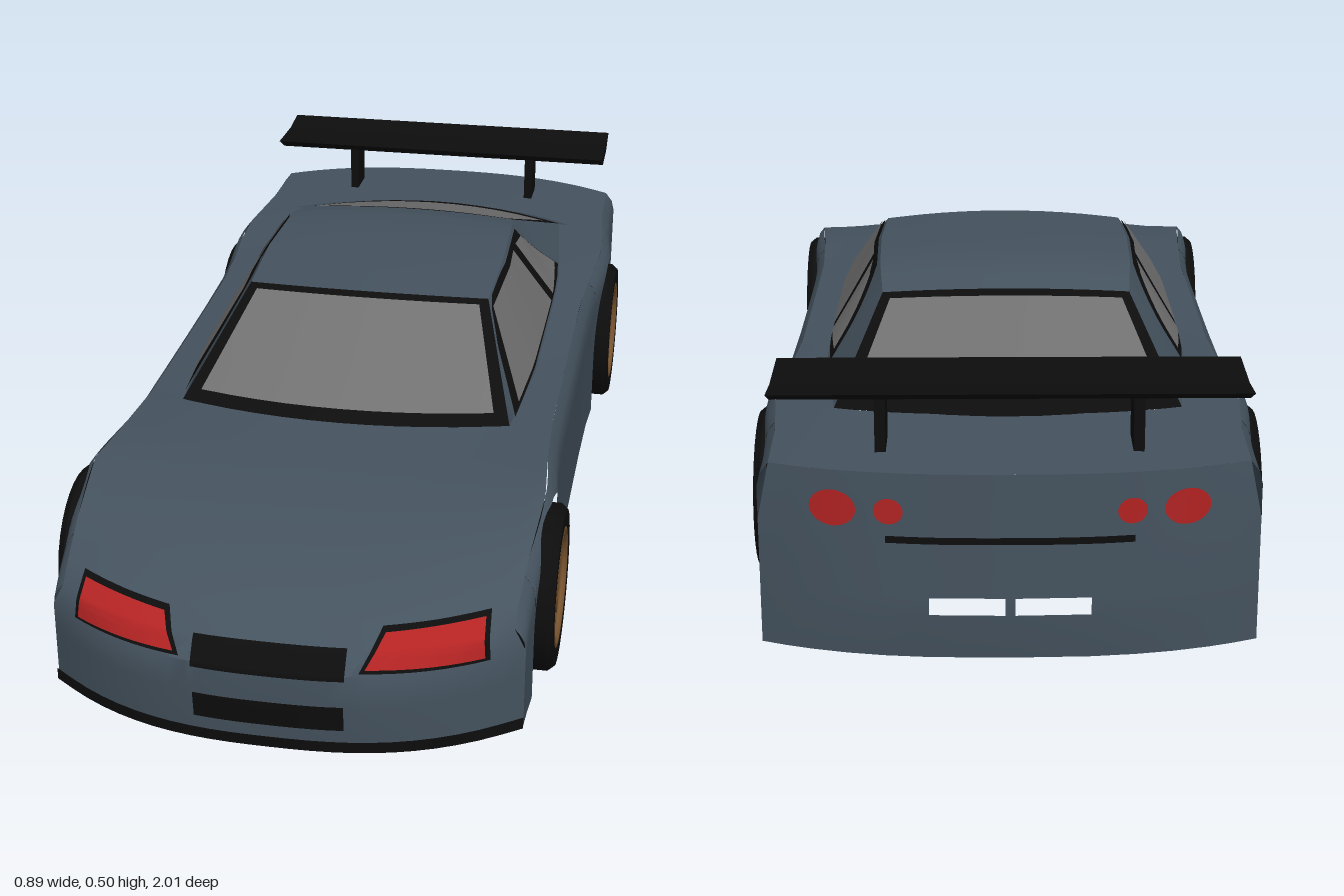
import * as THREE from 'three';
import { toCreasedNormals } from 'three/addons/utils/BufferGeometryUtils.js';

const paint = (name, color) => {
  const m = new THREE.MeshStandardMaterial({ color, side: THREE.DoubleSide });
  m.name = name;
  return m;
};
const lin = (a, b, n) => Array.from({ length: n + 1 }, (_, i) => a + (b - a) * i / n);

// Linear lookup in rows of [key, ...values]
function look(rows, k) {
  const dir = Math.sign(rows[rows.length - 1][0] - rows[0][0]);
  let i = 0;
  while (i < rows.length - 2 && (k - rows[i + 1][0]) * dir > 0) i++;
  const t = THREE.MathUtils.clamp((k - rows[i][0]) / (rows[i + 1][0] - rows[i][0] || 1), 0, 1);
  return rows[i].map((v, j) => v + (rows[i + 1][j] - v) * t).slice(1);
}

// Surface grid f(u, v) -> [x, y, z]; keep(i, j) chooses the cells
function patch(f, us, vs, keep = () => true) {
  const pos = [], idx = [], n = vs.length;
  us.forEach(u => vs.forEach(v => pos.push(...f(u, v))));
  for (let i = 0; i < us.length - 1; i++) for (let j = 0; j < n - 1; j++) {
    if (!keep(i, j)) continue;
    const a = i * n + j;
    idx.push(a, a + n, a + n + 1, a, a + n + 1, a + 1);
  }
  const g = new THREE.BufferGeometry();
  g.setAttribute('position', new THREE.Float32BufferAttribute(pos, 3));
  g.setIndex(idx);
  return toCreasedNormals(g, 0.6);
}

// Four-cornered plate laid onto a surface by map(p, q)
const plate = (c, map, n = 10) => patch((u, v) => map(...[0, 1].map(k =>
  (c[0][k] * (1 - u) + c[1][k] * u) * (1 - v) + (c[3][k] * (1 - u) + c[2][k] * u) * v)),
lin(0, 1, n), lin(0, 1, n));

// Lower body: shoulder line, flared width and side surface
const AXLES = [0.6, -0.55];
const SHOULDER = [[0.86, 0.22], [0.82, 0.25], [0.74, 0.29], [0.6, 0.332], [0.45, 0.33], [0.3, 0.327],
  [0, 0.33], [-0.3, 0.335], [-0.55, 0.345], [-0.92, 0.348]];
const shoulder = z => look(SHOULDER, z)[0];
function sideX(z, y) {
  const flare = AXLES.reduce((s, c) => s + 0.02 * Math.exp(-(((z - c) / 0.16) ** 2)), 0);
  const t = THREE.MathUtils.clamp((y - shoulder(z) + 0.04) / 0.04, 0, 1);
  return 0.41 + flare - 0.02 * t * t;
}

// Rows of [edge z, edge y, centre z, centre y]
const NOSE = [[0.86, 0.03, 0.99, 0.03], [0.86, 0.13, 1, 0.12], [0.86, 0.18, 1, 0.18],
  [0.86, 0.22, 0.975, 0.215], [0.82, 0.25, 0.93, 0.245], [0.74, 0.29, 0.8, 0.295],
  [0.6, 0.332, 0.62, 0.328], [0.45, 0.33, 0.5, 0.338], [0.3, 0.327, 0.4, 0.345]];
const TRUNK = [[-0.62, 0.346, -0.74, 0.362], [-0.77, 0.347, -0.86, 0.36], [-0.92, 0.348, -0.995, 0.355]];
const TAIL = [[-0.92, 0.348, -0.995, 0.355], [-0.92, 0.25, -0.995, 0.25], [-0.92, 0.14, -0.995, 0.14],
  [-0.92, 0.11, -0.995, 0.11], [-0.92, 0.03, -0.985, 0.03]];
const bow = s => 1 - Math.abs(s) ** 2.6;
const deck = rows => (s, r) => {
  const [ez, ey, cz, cy] = rows[r], g = bow(s);
  return [s * sideX(ez, ey), ey + (cy - ey) * g, ez + (cz - ez) * g];
};
const onNose = (x, y) => {
  const g = bow(Math.min(1, Math.abs(x) / 0.41));
  const z = look(NOSE.slice(0, 7).map(([ez, ey, cz, cy]) => [ey + (cy - ey) * g, ez + (cz - ez) * g]), y)[0];
  return [x, y, z];
};
const lift = (map, dx, dy, dz) => (p, q) => {
  const [x, y, z] = map(p, q);
  return [x + dx, y + dy, z + dz];
};
const onTail = (x, y) => [x, y, -0.924 - 0.075 * bow(x / 0.41)];

// Cabin columns: z, base x, base y, roof edge x, roof edge y; centre line: y, z
const CABIN = [[0.35, 0.315, 0.337, 0.315, 0.338], [0.1, 0.335, 0.334, 0.238, 0.485],
  [-0.08, 0.335, 0.337, 0.243, 0.495], [-0.27, 0.335, 0.342, 0.237, 0.495],
  [-0.38, 0.332, 0.345, 0.228, 0.47], [-0.68, 0.3, 0.352, 0.3, 0.353]];
const CENTRE = [[0.345, 0.41], [0.494, 0.127], [0.503, -0.05], [0.504, -0.28], [0.478, -0.385], [0.362, -0.75]];
const CABIN_ROWS = CABIN.map((c, i) => [i, c[3], c[4], c[0], ...CENTRE[i]]);
const cabinTop = (s, t) => {
  const [x, ey, ez, cy, cz] = look(CABIN_ROWS, t), g = 1 - s * s;
  return [s * x, ey + (cy - ey) * g, ez + (cz - ez) * g];
};
const onCabinSide = (z, y) => {
  const [bx, by, rx, ry] = look(CABIN, z);
  const t = THREE.MathUtils.clamp((y - by) / (ry - by || 1), 0.01, 0.99);
  return [bx + (rx - bx) * t, by + (ry - by) * t, z];
};

export function createModel() {
  const car = new THREE.Group();
  car.name = 'car';
  const body = paint('slate body paint', 0x45535f), black = paint('black trim', 0x0d0d0d);
  const glass = paint('grey glass', 0x717171), red = paint('red lamp', 0xb32323);
  const bronze = paint('bronze rim', 0x7a5530);
  const add = (name, geo, mat, parent = car) => {
    const m = new THREE.Mesh(geo, mat);
    m.name = name;
    parent.add(m);
    return m;
  };

  // Nose with bonnet, boot lid and tail with two open slots
  const across = lin(-1, 1, 24), index = a => a.map((_, i) => i);
  add('noseAndBonnet', patch(deck(NOSE), across, index(NOSE)), body);
  add('bootLid', patch(deck(TRUNK), across, index(TRUNK)), body);
  const tailS = [-1, -0.9, -0.8, -0.65, -0.5, -0.32, -0.02, 0.02, 0.32, 0.5, 0.65, 0.8, 0.9, 1];
  add('tailPanel', patch(deck(TAIL), tailS, index(TAIL), (i, j) => !(j === 2 && (i === 5 || i === 7))), body);

  // Windscreen, roof and rear window
  const cols = [-1, -0.92, ...lin(-0.7, 0.7, 8), 0.92, 1];
  const isGlass = (i, j) => i > 0 && i < cols.length - 2 && j > 0 && j < 4;
  add('roof', patch(cabinTop, cols, [1, 1.5, 2, 2.5, 3, 3.5, 4]), body);
  for (const [name, rows] of [['windscreen', [0, 0.1, 0.4, 0.7, 0.95, 1]], ['rearWindow', [4, 4.06, 4.3, 4.6, 4.85, 5]]]) {
    add(name + 'Frame', patch(cabinTop, cols, rows, (i, j) => !isGlass(i, j)), black);
    add(name + 'Glass', patch(cabinTop, cols, rows, isGlass), glass);
  }

  const rz = 0.175, ry = 0.163;
  for (const side of [1, -1]) {
    const tag = side > 0 ? 'left' : 'right';
    const flip = f => (u, v) => { const [x, y, z] = f(u, v); return [side * x, y, z]; };

    // Side panels, cut away over the wheels
    const panel = (name, zs, low) => add(tag + name, patch(flip((z, v) => {
      const y = low(z) + (shoulder(z) - low(z)) * v;
      return [sideX(z, y), y, z];
    }), zs, [0, 0.2, 0.4, 0.6, 0.75, 0.87, 0.94, 1]), body);
    const sill = () => 0.03;
    panel('FrontCorner', [0.86, 0.82, 0.775], sill);
    panel('Door', [0.425, 0.36, 0.3, 0.2, 0, -0.15, -0.3, -0.375], sill);
    panel('RearCorner', [-0.725, -0.8, -0.86, -0.92], sill);
    AXLES.forEach((c, k) => panel(k ? 'RearArch' : 'FrontArch',
      lin(0, Math.PI, 20).map(a => c + rz * Math.cos(a)),
      z => 0.155 + ry * Math.sqrt(Math.max(0, 1 - ((z - c) / rz) ** 2))));

    // Shoulder ledge and cabin side
    const zs = [0.35, 0.3, 0.22, 0.1, 0, -0.08, -0.2, -0.27, -0.38, -0.48, -0.58, -0.68];
    add(tag + 'Ledge', patch(flip((z, v) => {
      const [bx, by] = look(CABIN, z), y = shoulder(z), x = sideX(z, y);
      return [bx + (x - bx) * v, by + (y - by) * v, z];
    }), zs, [0, 0.5, 1]), body);
    add(tag + 'CabinSide', patch(flip((z, v) => {
      const [bx, by, ux, uy] = look(CABIN, z);
      return [bx + (ux - bx) * v, by + (uy - by) * v, z];
    }), zs, lin(0, 1, 4)), body);

    // Side windows, seen from outside and inside
    for (const d of [1, -1]) {
      const on = k => flip(lift(onCabinSide, d * k, d * k * 0.5, 0));
      add(tag + 'WindowFrame', plate([[0.31, 0.336], [0.12, 0.49], [-0.27, 0.49], [-0.43, 0.353]], on(0.003)), black);
      add(tag + 'DoorWindow', plate([[0.265, 0.345], [0.115, 0.474], [-0.165, 0.482], [-0.215, 0.354]], on(0.006)), glass);
      add(tag + 'QuarterWindow', plate([[-0.25, 0.356], [-0.205, 0.481], [-0.275, 0.473], [-0.405, 0.366]], on(0.006)), glass);
    }

    // Headlamp with dark surround, and twin round tail lamps
    add(tag + 'HeadlampSurround', plate([[0.152, 0.185], [0.358, 0.183], [0.352, 0.251], [0.182, 0.242]],
      flip(lift(onNose, 0, 0.001, 0.003))), black);
    add(tag + 'Headlamp', plate([[0.162, 0.191], [0.35, 0.189], [0.345, 0.245], [0.188, 0.236]],
      flip(lift(onNose, 0, 0.002, 0.007))), red);
    for (const [x, rx, r] of [[0.285, 0.038, 0.031], [0.195, 0.024, 0.022]])
      add(tag + 'TailLamp', patch(flip((a, k) => onTail(x + rx * k * Math.cos(a), 0.29 + r * k * Math.sin(a))),
        lin(0, Math.PI * 2, 20), [0, 0.5, 1]), red);

    // Wheels: tyre with recessed face, rim ring, five spokes and hub
    AXLES.forEach((z, k) => {
      const wheel = new THREE.Group();
      wheel.name = tag + (k ? 'RearWheel' : 'FrontWheel');
      wheel.position.set(side * 0.36, 0.152, z);
      wheel.rotation.y = side > 0 ? 0 : Math.PI;
      const profile = [[0, -0.085], [0.14, -0.085], [0.15, -0.073], [0.15, 0.073], [0.14, 0.085], [0.112, 0.085], [0.106, 0.045], [0, 0.045]];
      const tyre = new THREE.LatheGeometry(profile.map(p => new THREE.Vector2(...p)), 32).rotateZ(-Math.PI / 2);
      add('tyre', toCreasedNormals(tyre, 0.5), black, wheel);
      const ring = new THREE.TorusGeometry(0.104, 0.008, 6, 32).rotateY(Math.PI / 2);
      add('rimRing', ring, bronze, wheel).position.x = 0.078;
      for (let i = 0; i < 5; i++)
        add('spoke', new THREE.BoxGeometry(0.014, 0.09, 0.02).translate(0.068, 0.057, 0), bronze, wheel).rotation.x = i * Math.PI * 0.4;
      add('hub', new THREE.CylinderGeometry(0.026, 0.026, 0.02, 16).rotateZ(Math.PI / 2), bronze, wheel).position.x = 0.068;
      car.add(wheel);
    });

    // Wing strut
    add(tag + 'WingStrut', new THREE.BoxGeometry(0.018, 0.11, 0.075), black).position.set(side * 0.21, 0.405, -0.86);
  }

  // Grilles, front lip and tail strip
  const rect = (x, y0, y1) => [[-x, y0], [x, y0], [x, y1], [-x, y1]];
  const front = lift(onNose, 0, 0, 0.006);
  add('upperGrille', plate(rect(0.13, 0.174, 0.22), front), black);
  add('lowerGrille', plate(rect(0.128, 0.075, 0.124), front), black);
  add('frontLip', plate(rect(0.412, 0.028, 0.05), front, 24), black);
  add('tailStrip', plate(rect(0.2, 0.236, 0.248), onTail), black);

  // Rear wing
  const section = new THREE.Shape([[0.78, 0.478], [0.83, 0.45], [0.92, 0.455], [0.975, 0.482], [0.9, 0.474]]
    .map(p => new THREE.Vector2(...p)));
  add('rearWing', new THREE.ExtrudeGeometry(section, { depth: 0.77, bevelEnabled: false })
    .translate(0, 0, -0.385).rotateY(Math.PI / 2), black);
  return car;
}
